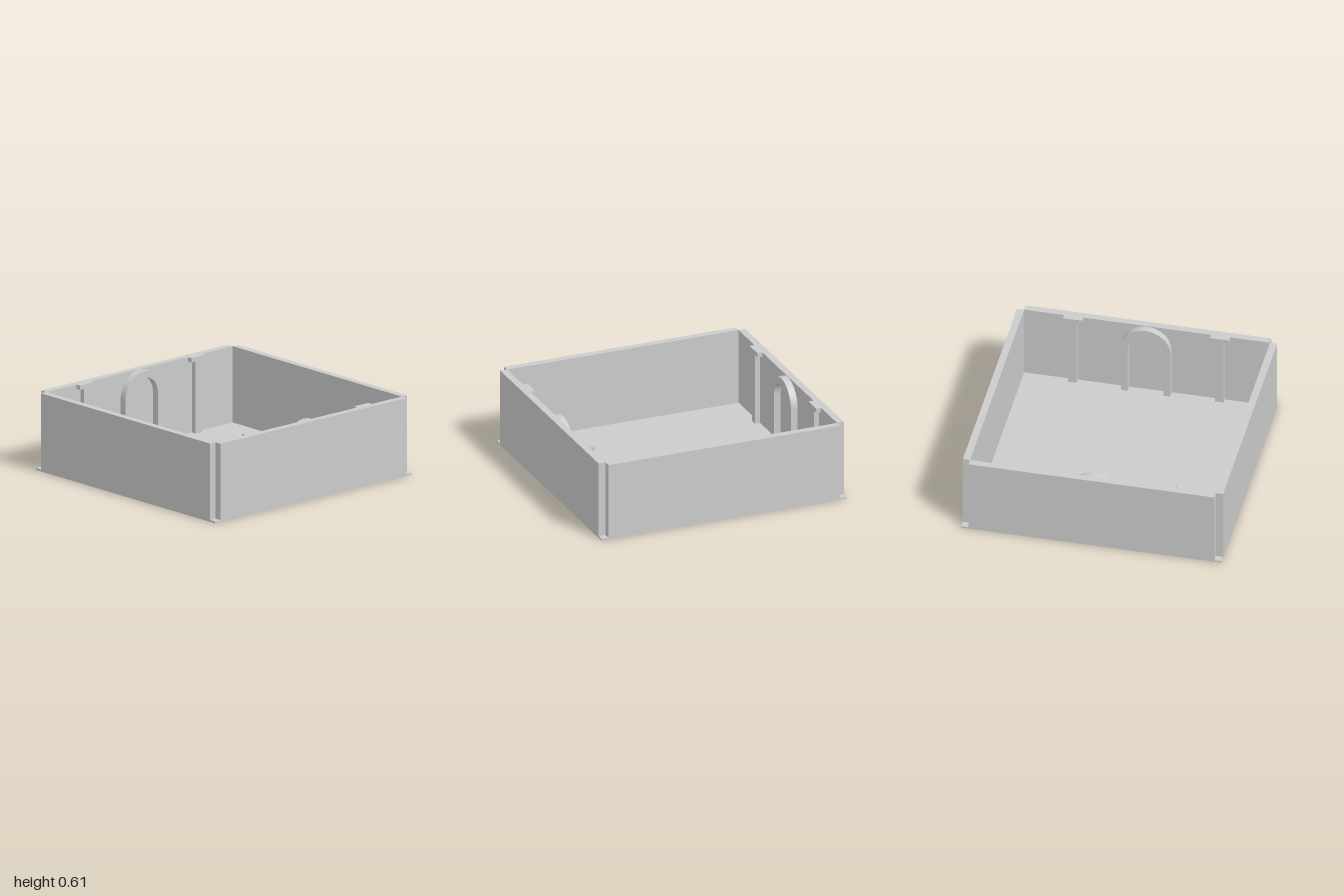
import * as THREE from 'three';

const HEIGHT = 0.61, FLOOR = 0.015, WALL = 0.055, INNER = 1 - WALL;

export function createModel() {
  const model = new THREE.Group();
  model.name = 'openTray';
  const material = new THREE.MeshStandardMaterial({ color: 0xcccccc, flatShading: true });

  // Box given by its minimum and maximum corners
  const box = (name, parent, [x0, y0, z0], [x1, y1, z1]) => {
    const mesh = new THREE.Mesh(new THREE.BoxGeometry(x1 - x0, y1 - y0, z1 - z0), material);
    mesh.position.set((x0 + x1) / 2, (y0 + y1) / 2, (z0 + z1) / 2);
    mesh.name = name;
    parent.add(mesh);
  };

  box('floor', model, [-1, 0, -1], [1, FLOOR, 1]);

  // Raised arch outline: two legs joined by a half ring
  const outer = 0.19, inner = 0.137, spring = 0.415;
  const arch = new THREE.Shape();
  arch.moveTo(outer, FLOOR);
  arch.lineTo(outer, spring);
  arch.absarc(0, spring, outer, 0, Math.PI, false);
  arch.lineTo(-outer, FLOOR);
  arch.lineTo(-inner, FLOOR);
  arch.lineTo(-inner, spring);
  arch.absarc(0, spring, inner, Math.PI, 0, true);
  arch.lineTo(inner, FLOOR);
  arch.closePath();
  const archGeometry = new THREE.ExtrudeGeometry(arch, {
    depth: 0.055, bevelEnabled: false, curveSegments: 20,
  });

  // Four walls, each stopping short of the corners to leave square notches
  ['back', 'left', 'front', 'right'].forEach((side, i) => {
    const wall = new THREE.Group();
    wall.name = side + 'WallGroup';
    box(side + 'Wall', wall, [-INNER, FLOOR, -1], [INNER, HEIGHT, -INNER]);

    // Front and back carry an arch and two capped pilasters on the inside
    if (i % 2 === 0) {
      const archMesh = new THREE.Mesh(archGeometry, material);
      archMesh.name = side + 'Arch';
      archMesh.position.z = -INNER;
      wall.add(archMesh);
      for (const x of [-0.565, 0.565]) {
        box('pilasterShaft', wall, [x - 0.033, FLOOR, -INNER], [x + 0.033, HEIGHT - 0.035, -0.905]);
        box('pilasterCapital', wall, [x - 0.074, HEIGHT - 0.035, -INNER], [x + 0.074, HEIGHT, -0.905]);
      }
    }
    wall.rotation.y = -i * Math.PI / 2;
    model.add(wall);
  });

  return model;
}
